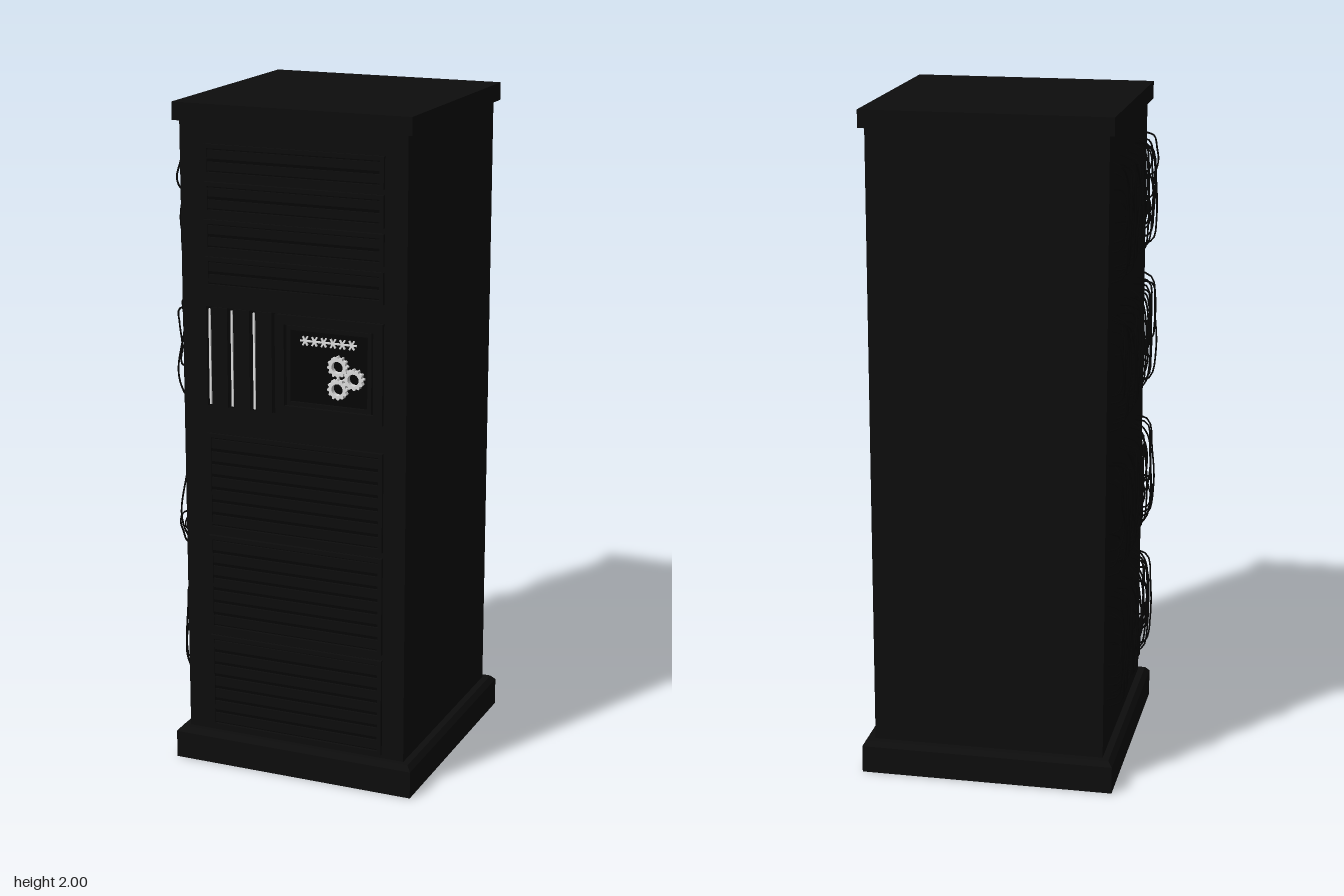
import * as THREE from 'three';

const mat = (name, color, side = THREE.FrontSide) => {
  const m = new THREE.MeshStandardMaterial({ color, side });
  m.name = name;
  return m;
};

export function createModel() {
  const root = new THREE.Group();
  root.name = 'serverCabinet';
  const casing = mat('casing black', 0x0d0d0d);
  const dark = mat('recess black', 0x060606);
  const cableMat = mat('cable black', 0x040404);
  const white = mat('indicator white', 0xe0e0e0);
  const CX = 0.011; // cabinet centre, offset to leave room for the cables

  const add = (parent, name, geo, material, x = 0, y = 0, z = 0) => {
    const mesh = new THREE.Mesh(geo, material);
    mesh.name = name;
    mesh.position.set(x, y, z);
    parent.add(mesh);
    return mesh;
  };
  // Box given by its extents
  const box = (parent, name, m, x0, x1, y0, y1, z0, z1) =>
    add(parent, name, new THREE.BoxGeometry(x1 - x0, y1 - y0, z1 - z0), m,
      (x0 + x1) / 2, (y0 + y1) / 2, (z0 + z1) / 2);
  // Rectangular frame standing on the front face
  const frame = (parent, name, m, x0, x1, y0, y1, t, z0, z1) => {
    const s = new THREE.Shape([[x0, y0], [x1, y0], [x1, y1], [x0, y1]].map(p => new THREE.Vector2(...p)));
    s.holes.push(new THREE.Path([[x0 + t, y0 + t], [x0 + t, y1 - t], [x1 - t, y1 - t], [x1 - t, y0 + t]]
      .map(p => new THREE.Vector2(...p))));
    return add(parent, name, new THREE.ExtrudeGeometry(s, { depth: z1 - z0, bevelEnabled: false }), m, 0, 0, z0);
  };

  // Cabinet, plinth with chamfered rim, and cap
  box(root, 'cabinet', casing, CX - 0.347, CX + 0.347, 0.08, 1.96, -0.347, 0.35);
  box(root, 'plinth', casing, CX - 0.38, CX + 0.38, 0, 0.083, -0.38, 0.38);
  const rim = new THREE.CylinderGeometry(0.367 * Math.SQRT2, 0.38 * Math.SQRT2, 0.015, 4, 1);
  rim.rotateY(Math.PI / 4);
  const rimFlat = rim.toNonIndexed();
  rimFlat.computeVertexNormals();
  add(root, 'plinthRim', rimFlat, casing, CX, 0.0905, 0);
  box(root, 'cap', casing, CX - 0.363, CX + 0.363, 1.948, 2, -0.363, 0.365);

  // Louvred front panel: dark backing, frame and evenly spaced slats
  const louvrePanel = (name, y0, y1, slats) => {
    const g = new THREE.Group();
    g.name = name;
    root.add(g);
    const x0 = -0.26, x1 = 0.29, t = 0.012;
    box(g, 'panelBacking', dark, x0, x1, y0, y1, 0.345, 0.352);
    frame(g, 'panelFrame', casing, x0, x1, y0, y1, t, 0.349, 0.36);
    const pitch = (y1 - y0 - 2 * t) / slats;
    for (let i = 0; i < slats; i++) {
      const y = y0 + t + (i + 0.5) * pitch;
      box(g, 'slat', casing, x0 + t, x1 - t, y - pitch * 0.36, y + pitch * 0.36, 0.349, 0.357);
    }
  };
  for (let i = 0; i < 4; i++) louvrePanel('drivePanel', 1.47 + i * 0.108, 1.562 + i * 0.108, 2);
  [0.11, 0.425, 0.74].forEach(y => louvrePanel('ventPanel', y, y + 0.297, 7));

  // Middle bay: upright blades with light strips
  const bay = new THREE.Group();
  bay.name = 'controlBay';
  root.add(bay);
  box(bay, 'bayBacking', dark, -0.26, 0.29, 1.12, 1.415, 0.345, 0.352);
  for (let i = 0; i < 3; i++) {
    const x = -0.248 + i * 0.07;
    box(bay, 'blade', casing, x + 0.006, x + 0.056, 1.12, 1.415, 0.349, 0.357);
    box(bay, 'lightStrip', white, x - 0.003, x + 0.003, 1.125, 1.41, 0.349, 0.357);
  }

  // Display with nested frames
  frame(bay, 'displayFrame', casing, -0.04, 0.29, 1.12, 1.415, 0.028, 0.349, 0.362);
  frame(bay, 'displayInnerFrame', casing, -0.005, 0.255, 1.15, 1.385, 0.012, 0.349, 0.358);
  box(bay, 'screen', dark, 0.01, 0.24, 1.165, 1.37, 0.349, 0.354);

  // Row of six stars made of crossed bars
  for (let i = 0; i < 6; i++) for (let k = 0; k < 3; k++) {
    const bar = add(bay, 'starBar', new THREE.BoxGeometry(0.03, 0.005, 0.005), white,
      0.053 + i * 0.0285, 1.345, 0.358);
    bar.rotation.z = k * Math.PI / 3;
  }

  // Three meshing gears
  const gearShape = new THREE.Shape();
  const teeth = 12;
  for (let i = 0; i < teeth * 4; i++) {
    const a = (i / (teeth * 4)) * Math.PI * 2, r = i % 4 < 2 ? 0.031 : 0.026;
    gearShape[i ? 'lineTo' : 'moveTo'](Math.cos(a) * r, Math.sin(a) * r);
  }
  gearShape.holes.push(new THREE.Path().absarc(0, 0, 0.017, 0, Math.PI * 2, true));
  const gearGeo = new THREE.ExtrudeGeometry(gearShape, { depth: 0.018, bevelEnabled: false, curveSegments: 10 });
  [[0.156, 1.28], [0.205, 1.248], [0.156, 1.215]].forEach(([x, y]) => add(bay, 'gear', gearGeo, white, x, y, 0.353));

  // Four bundles of loose cables looping out of the side wall
  let seed = 7;
  const rnd = () => (seed = (seed * 16807) % 2147483647) / 2147483647;
  const wall = CX - 0.345;
  [0.21, 0.64, 1.08, 1.51].forEach(base => {
    const g = new THREE.Group();
    g.name = 'cableBundle';
    root.add(g);
    for (let i = 0; i < 30; i++) {
      const z = -0.31 + 0.62 * (i + 0.5) / 30;
      const long = i % 3 === 0;
      const len = long ? 0.3 + rnd() * 0.055 : 0.1 + rnd() * 0.16;
      const y0 = base + 0.003 + rnd() * (0.352 - len), y1 = y0 + len;
      const out = wall - (long ? 0.05 : 0.025 + rnd() * 0.025);
      const sway = () => THREE.MathUtils.clamp(z + (rnd() - 0.5) * 0.07, -0.315, 0.315);
      const path = new THREE.CatmullRomCurve3([
        new THREE.Vector3(wall + 0.005, y0, z),
        new THREE.Vector3(out + 0.012, y0 + len * 0.06, z),
        new THREE.Vector3(out, y0 + len * 0.3, sway()),
        new THREE.Vector3(out, y0 + len * 0.68, sway()),
        new THREE.Vector3(out + 0.012, y1 - len * 0.06, sway()),
        new THREE.Vector3(wall + 0.005, y1, sway()),
      ]);
      add(g, 'cable', new THREE.TubeGeometry(path, 20, 0.0028, 6), cableMat);
    }
  });
  return root;
}
